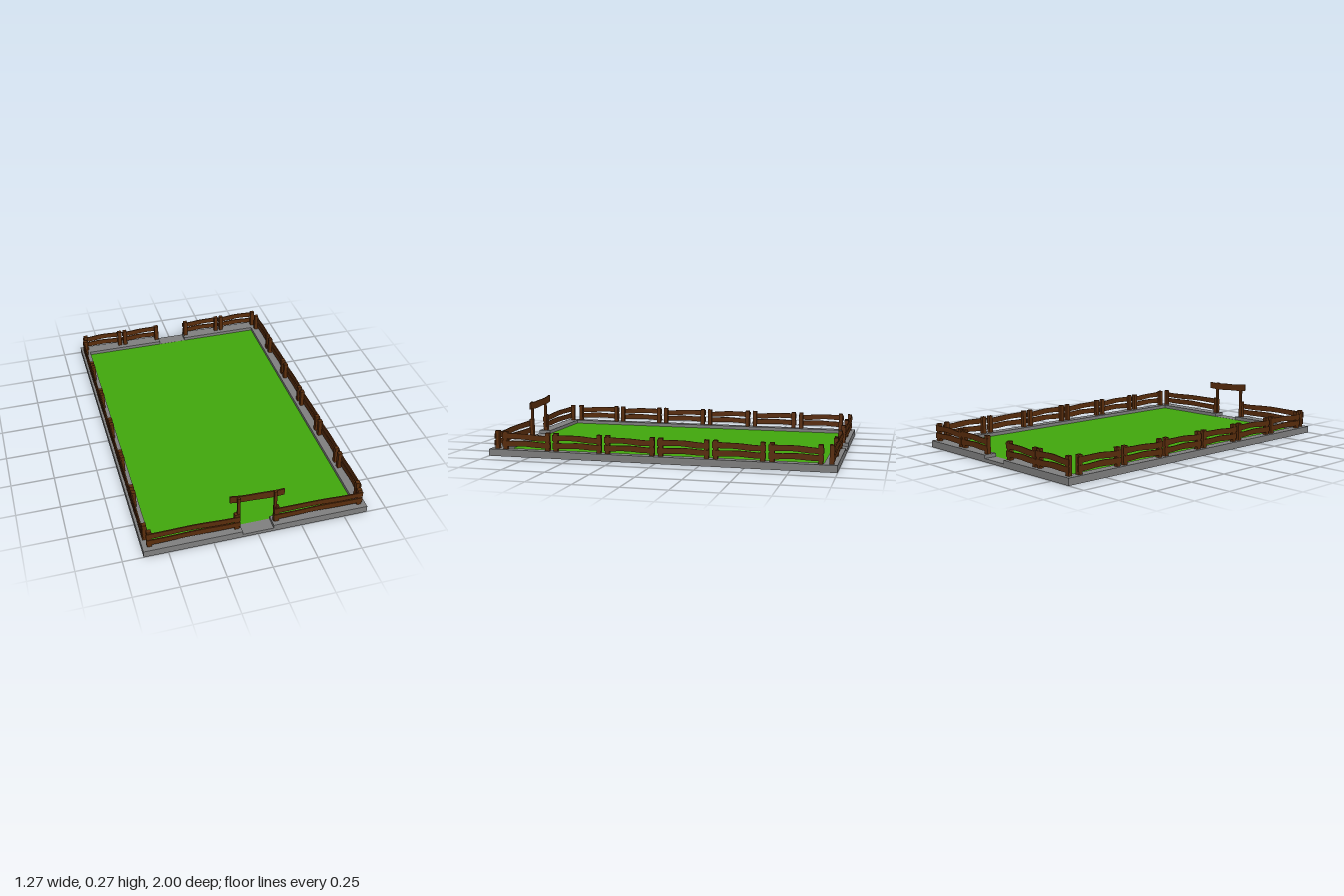
import * as THREE from 'three';

const mat = (name, color) => {
  const m = new THREE.MeshStandardMaterial({ color, flatShading: true });
  m.name = name;
  return m;
};

export function createModel() {
  const stone = mat('stone grey', 0x808080);
  const grass = mat('grass green', 0x42a80d);
  const wood = mat('wood brown', 0x5a2d0c);
  const root = new THREE.Group();
  root.name = 'fencedField';

  const add = (parent, name, geometry, material, x = 0, y = 0, z = 0) => {
    const mesh = new THREE.Mesh(geometry, material);
    mesh.name = name;
    mesh.position.set(x, y, z);
    parent.add(mesh);
    return mesh;
  };
  const box = (w, h, d) => new THREE.BoxGeometry(w, h, d);

  // Base slab, lawn and the low thresholds in both gateways
  add(root, 'baseSlab', box(1.27, 0.018, 2), stone, 0, 0.009, 0);
  add(root, 'lawn', box(1.16, 0.0015, 1.85), grass, 0, 0.01875, 0);
  for (const s of [1, -1]) add(root, 'threshold', box(0.176, 0.004, 0.076), stone, 0, 0.018, s * 0.962);

  // Raised kerb: two C-shaped halves
  const kerb = new THREE.Shape([
    [0.088, -1], [0.635, -1], [0.635, 1], [0.088, 1],
    [0.088, 0.925], [0.58, 0.925], [0.58, -0.925], [0.088, -0.925],
  ].map(([x, y]) => new THREE.Vector2(x, y)));
  const kerbGeometry = new THREE.ExtrudeGeometry(kerb, { depth: 0.023, bevelEnabled: false });
  kerbGeometry.rotateX(-Math.PI / 2);
  for (const turn of [0, Math.PI]) add(root, 'kerb', kerbGeometry, stone, 0, 0.017, 0).rotation.y = turn;

  // Rough plank: a box bent along its length, with uneven edges
  const plank = (length, height, depth, bend) => {
    const g = box(length, height, depth).clone();
    const out = new THREE.BoxGeometry(length, height, depth, 8, 1, 1);
    const p = out.attributes.position;
    for (let i = 0; i < p.count; i++) {
      const u = p.getX(i) / length * 2;
      const edge = Math.sign(p.getY(i));
      p.setY(i, p.getY(i) + bend(u) + edge * 0.0015 * Math.sin(u * 5 + edge));
    }
    g.dispose();
    out.computeVertexNormals();
    return out;
  };

  // Fence panel: runs along local x, rails on the outer (+z) side
  const fencePanel = (name, span, x, z, turn, seed) => {
    const panel = new THREE.Group();
    panel.name = name;
    panel.position.set(x, 0.04, z);
    panel.rotation.y = turn;
    for (const s of [-1, 1]) add(panel, 'post', box(0.025, 0.104, 0.024), wood, s * span / 2, 0.052, 0);
    [0.034, 0.076].forEach((y, i) => {
      const bend = (u) => 0.003 * Math.cos(u * 2.4 + seed * 0.7 + i) * (i ? 1.3 : 0.7);
      add(panel, i ? 'upperRail' : 'lowerRail', plank(span + 0.035, 0.032, 0.007, bend), wood, 0, y, 0.0115);
    });
    root.add(panel);
  };

  // Long sides: six panels each
  for (const s of [1, -1]) {
    for (let i = 0; i < 6; i++) {
      fencePanel('sideFence', 0.26, s * 0.609, -0.779 + i * 0.3105, s * Math.PI / 2, (i % 2) * 0.8);
    }
  }
  // Front and back ends, leaving the gateways open
  for (const s of [1, -1]) {
    fencePanel('frontFence', 0.482, s * 0.354, 0.96, 0, s > 0 ? 0.4 : -0.4);
    fencePanel('backFence', 0.222, s * 0.216, -0.967, Math.PI, 0.5);
    fencePanel('backFence', 0.232, s * 0.481, -0.967, Math.PI, -0.5);
  }

  // Front gate: two slim posts carrying a sagging board
  const gate = new THREE.Group();
  gate.name = 'gate';
  for (const s of [1, -1]) add(gate, 'gatePost', box(0.016, 0.212, 0.014), wood, s * 0.103, 0.146, 0.961);
  const sag = (u) => 0.006 * u * u - 0.007 * u - 0.003;
  add(gate, 'gateBoard', plank(0.306, 0.042, 0.008, sag), wood, 0.003, 0.235, 0.951);
  root.add(gate);

  return root;
}
